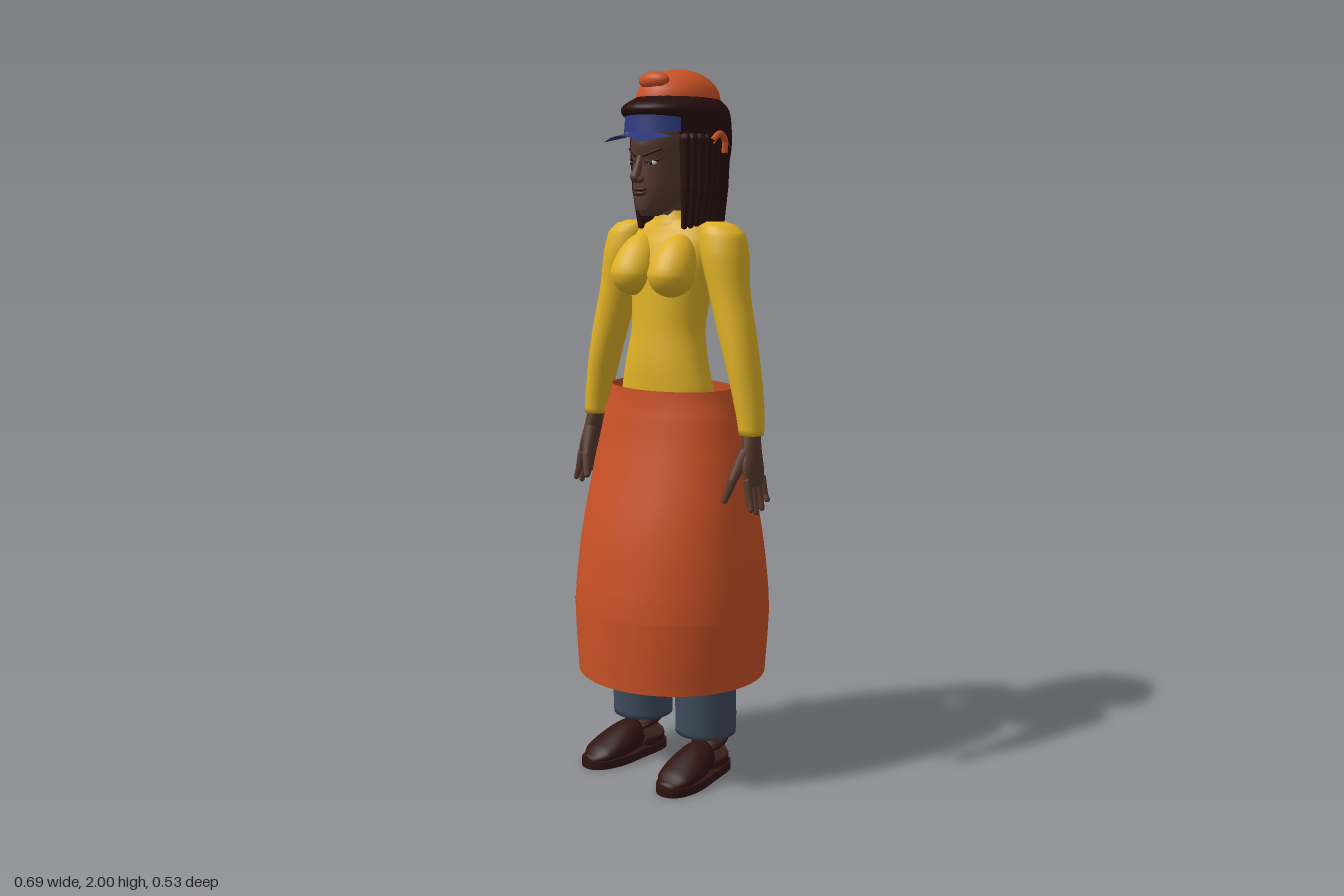
import * as THREE from 'three';

const mat = (name, color, side = THREE.FrontSide) => {
  const m = new THREE.MeshStandardMaterial({ color, side });
  m.name = name;
  return m;
};

export function createModel() {
  const model = new THREE.Group();
  model.name = 'woman';
  const M = {
    orange: mat('orangeCloth', 0xc95126, THREE.DoubleSide),
    yellow: mat('yellowKnit', 0xdfb126, THREE.DoubleSide),
    skin: mat('brownSkin', 0x573a2d),
    hair: mat('darkHair', 0x270d0d),
    blue: mat('blueVisor', 0x2f3a7c, THREE.DoubleSide),
    denim: mat('slateDenim', 0x3e4a5c),
    shoe: mat('darkLeather', 0x2f1312),
    lip: mat('lips', 0x40241f),
    white: mat('eyeWhite', 0xb8aea6),
  };
  const V = (x, y, z) => new THREE.Vector3(x, y, z);
  const add = (name, geo, m, parent = model) => {
    const mesh = new THREE.Mesh(geo, m);
    mesh.name = name;
    parent.add(mesh);
    return mesh;
  };

  // Smooth elliptical loft; rows, bottom to top: [y, centreX, radiusX, frontZ, backZ]
  function loft(rows, capped = true, segs = 40, sub = 5) {
    const rings = [];
    const n = rows.length;
    for (let i = 0; i < n - 1; i++) {
      const p = [rows[Math.max(i - 1, 0)], rows[i], rows[i + 1], rows[Math.min(i + 2, n - 1)]];
      for (let k = 0; k < sub + (i === n - 2 ? 1 : 0); k++) {
        const t = k / sub;
        rings.push(rows[0].map((_, c) => {
          const [a, b, d, e] = p.map(r => r[c]);
          if (c === 0) return b + (d - b) * t;
          return 0.5 * (2 * b + (d - a) * t + (2 * a - 5 * b + 4 * d - e) * t * t
            + (3 * b - a - 3 * d + e) * t * t * t);
        }));
      }
    }
    const pos = [], idx = [];
    const w = segs + 1;
    for (const [y, cx, rx, zf, zb] of rings) {
      for (let j = 0; j <= segs; j++) {
        const a = j / segs * Math.PI * 2;
        pos.push(cx + rx * Math.sin(a), y, (zf + zb) / 2 + (zf - zb) / 2 * Math.cos(a));
      }
    }
    for (let i = 0; i < rings.length - 1; i++) {
      for (let j = 0; j < segs; j++) {
        const a = i * w + j, b = a + w;
        idx.push(a, a + 1, b, a + 1, b + 1, b);
      }
    }
    if (capped) {
      for (const top of [false, true]) {
        const [y, cx, , zf, zb] = rings[top ? rings.length - 1 : 0];
        const base = top ? (rings.length - 1) * w : 0;
        const c = pos.length / 3;
        pos.push(cx, y, (zf + zb) / 2);
        for (let j = 0; j < segs; j++) {
          idx.push(c, base + j + (top ? 0 : 1), base + j + (top ? 1 : 0));
        }
      }
    }
    const g = new THREE.BufferGeometry();
    g.setAttribute('position', new THREE.Float32BufferAttribute(pos, 3));
    g.setIndex(idx);
    g.computeVertexNormals();
    return g;
  }
  const ball = (c, r) => new THREE.SphereGeometry(1, 28, 18).scale(...r).translate(...c);
  // Tapered round-ended rod between two points
  function rod(a, b, r0, r1) {
    const len = a.distanceTo(b);
    const g = new THREE.CapsuleGeometry(1, len, 4, 10);
    const p = g.attributes.position;
    for (let i = 0; i < p.count; i++) {
      const y = p.getY(i), h = THREE.MathUtils.clamp(y, -len / 2, len / 2);
      const r = r0 + (r1 - r0) * (h / len + 0.5);
      p.setXYZ(i, p.getX(i) * r, h + (y - h) * r, p.getZ(i) * r);
    }
    g.applyQuaternion(new THREE.Quaternion().setFromUnitVectors(V(0, 1, 0), b.clone().sub(a).normalize()));
    return g.translate(...a.clone().add(b).multiplyScalar(0.5).toArray());
  }

  // Skirt and its hem band
  add('skirt', loft([[0.5, 0, 0.291, 0.266, -0.266], [0.6, 0, 0.287, 0.254, -0.254], [0.75, 0, 0.272, 0.226, -0.226],
    [0.92, 0, 0.248, 0.18, -0.18], [1.05, 0, 0.219, 0.152, -0.152], [1.13, 0, 0.192, 0.14, -0.14]], false, 64), M.orange);
  add('skirtHem', loft([[0.3, 0, 0.276, 0.265, -0.265], [0.4, 0, 0.285, 0.267, -0.267], [0.502, 0, 0.292, 0.267, -0.267]], false, 64), M.orange);

  // Top, with collar
  add('torso', loft([[1.0, 0, 0.165, 0.11, -0.09], [1.13, 0, 0.15, 0.113, -0.078], [1.2, 0, 0.132, 0.113, -0.072],
    [1.29, 0, 0.114, 0.104, -0.076], [1.38, 0, 0.122, 0.098, -0.09], [1.46, 0, 0.138, 0.09, -0.103],
    [1.53, 0, 0.15, 0.066, -0.108], [1.572, 0, 0.125, 0.046, -0.09], [1.595, 0, 0.07, 0.036, -0.07]]), M.yellow);
  add('collar', loft([[1.575, 0, 0.075, 0.045, -0.075], [1.6, 0, 0.064, 0.036, -0.066], [1.618, 0, 0.066, 0.03, -0.07]], false), M.yellow);
  add('hips', loft([[0.74, 0, 0.08, 0.06, -0.07], [0.8, 0, 0.16, 0.09, -0.1], [0.95, 0, 0.17, 0.1, -0.105], [1.05, 0, 0.155, 0.1, -0.09]]), M.denim);

  for (const s of [1, -1]) {
    const side = s > 0 ? 'left' : 'right';
    // Bust: sphere drawn out upwards into the chest
    const bust = new THREE.SphereGeometry(0.066, 28, 20);
    const bp = bust.attributes.position;
    for (let i = 0; i < bp.count; i++) {
      const y = bp.getY(i);
      if (y > 0) bp.setXYZ(i, bp.getX(i), y * 1.6, bp.getZ(i) - y * 0.55);
    }
    bust.computeVertexNormals();
    add(side + 'Bust', bust.translate(s * 0.069, 1.45, 0.08), M.yellow);

    // Sleeve
    add(side + 'Sleeve', loft([[1.02, s * 0.295, 0.034, 0.042, -0.03], [1.1, s * 0.283, 0.039, 0.046, -0.042],
      [1.2, s * 0.261, 0.045, 0.052, -0.05], [1.3, s * 0.234, 0.053, 0.052, -0.054], [1.4, s * 0.206, 0.057, 0.052, -0.062],
      [1.5, s * 0.184, 0.067, 0.054, -0.076], [1.555, s * 0.172, 0.066, 0.044, -0.072], [1.58, s * 0.158, 0.052, 0.03, -0.06],
      [1.589, s * 0.15, 0.03, 0.01, -0.04]]), M.yellow);

    // Hand
    const hand = new THREE.Group();
    hand.name = side + 'Hand';
    model.add(hand);
    add('palm', loft([[0.885, s * 0.317, 0.013, 0.058, -0.02], [0.93, s * 0.311, 0.018, 0.058, -0.024],
      [0.98, s * 0.301, 0.022, 0.046, -0.022], [1.04, s * 0.294, 0.024, 0.032, -0.022]]), M.skin, hand);
    for (let i = 0; i < 4; i++) {
      const z = -0.014 + i * 0.021;
      const drop = [0.028, 0.008, 0, 0.01][i];
      const mid = V(s * 0.325, 0.855, z * 1.05);
      add('finger', rod(V(s * 0.317, 0.9, z), mid, 0.0115, 0.0105), M.skin, hand);
      add('fingertip', rod(mid, V(s * 0.335, 0.815 + drop, z * 1.1), 0.0105, 0.008), M.skin, hand);
    }
    add('thumb', rod(V(s * 0.295, 0.97, 0.035), V(s * 0.28, 0.9, 0.066), 0.019, 0.013), M.skin, hand);
    add('thumbTip', rod(V(s * 0.28, 0.9, 0.066), V(s * 0.264, 0.845, 0.08), 0.013, 0.009), M.skin, hand);

    // Trouser leg
    add(side + 'TrouserLeg', loft([[0.13, s * 0.123, 0.088, 0.078, -0.096], [0.2, s * 0.124, 0.088, 0.08, -0.097],
      [0.45, s * 0.118, 0.084, 0.086, -0.096], [0.7, s * 0.092, 0.088, 0.09, -0.1], [0.9, s * 0.085, 0.085, 0.09, -0.1]]), M.denim);

    // Shoe: sole, closed toe, heel strap and bare ankle
    const foot = new THREE.Group();
    foot.name = side + 'Foot';
    foot.position.set(s * 0.132, 0, 0);
    foot.rotation.y = s * 0.1;
    model.add(foot);
    const along = rows => loft(rows).rotateX(Math.PI / 2); // rows: [z, x, radius, -bottom, -top]
    const sole = new THREE.Shape();
    sole.moveTo(0, -0.095);
    sole.bezierCurveTo(0.06, -0.095, 0.045, -0.02, 0.058, 0.06);
    sole.bezierCurveTo(0.07, 0.15, 0.045, 0.21, 0, 0.208);
    sole.bezierCurveTo(-0.045, 0.21, -0.07, 0.15, -0.058, 0.06);
    sole.bezierCurveTo(-0.045, -0.02, -0.06, -0.095, 0, -0.095);
    add('sole', new THREE.ExtrudeGeometry(sole, { depth: 0.024, bevelEnabled: false, curveSegments: 12 })
      .rotateX(Math.PI / 2).translate(0, 0.026, 0), M.shoe, foot);
    add('toeUpper', along([[0.02, 0, 0.046, -0.015, -0.112], [0.06, 0, 0.055, -0.01, -0.105], [0.11, 0, 0.06, -0.01, -0.085],
      [0.16, 0, 0.053, -0.012, -0.06], [0.198, 0, 0.025, -0.015, -0.036]]), M.shoe, foot);
    add('foot', along([[-0.085, 0, 0.02, -0.02, -0.06], [-0.06, 0, 0.036, -0.015, -0.085], [0, 0, 0.04, -0.015, -0.115],
      [0.05, 0, 0.04, -0.015, -0.1]]), M.skin, foot);
    add('ankle', rod(V(0, 0.07, -0.03), V(0, 0.22, -0.015), 0.036, 0.042), M.skin, foot);
    add('heelCup', loft([[0.015, 0, 0.045, 0.03, -0.088], [0.05, 0, 0.044, 0.03, -0.09]]), M.shoe, foot);
    add('ankleStrap', new THREE.TorusGeometry(0.044, 0.008, 8, 28).scale(1, 1.25, 1)
      .rotateX(Math.PI / 2 + 0.3).translate(0, 0.1, -0.022), M.shoe, foot);
  }

  // Head and face
  add('neck', rod(V(0, 1.55, -0.025), V(0, 1.68, 0.005), 0.05, 0.043), M.skin);
  add('head', loft([[1.604, 0, 0.02, 0.118, 0.06], [1.622, 0, 0.042, 0.128, 0.02], [1.66, 0, 0.06, 0.132, -0.02],
    [1.7, 0, 0.072, 0.132, -0.07], [1.75, 0, 0.079, 0.131, -0.1], [1.8, 0, 0.082, 0.138, -0.12], [1.88, 0, 0.08, 0.115, -0.12]]), M.skin);
  add('noseBridge', rod(V(0, 1.765, 0.126), V(0, 1.709, 0.148), 0.008, 0.014), M.skin);
  add('noseWings', ball([0, 1.703, 0.138], [0.021, 0.011, 0.016]), M.skin);
  add('upperLip', ball([0, 1.676, 0.131], [0.026, 0.006, 0.012]), M.lip);
  add('lowerLip', ball([0, 1.665, 0.13], [0.022, 0.007, 0.012]), M.lip);
  for (const s of [1, -1]) {
    add('eye', ball([s * 0.036, 1.746, 0.119], [0.016, 0.006, 0.006]), M.white);
    add('iris', ball([s * 0.035, 1.746, 0.123], [0.0065, 0.006, 0.004]), M.hair);
    add('eyelid', rod(V(s * 0.02, 1.749, 0.126), V(s * 0.053, 1.755, 0.108), 0.004, 0.003), M.hair);
    add('eyebrow', rod(V(s * 0.016, 1.766, 0.13), V(s * 0.058, 1.784, 0.108), 0.005, 0.003), M.hair);
  }

  // Hair: crown with a fringe roll, then hanging locks
  add('hairCrown', loft([[1.62, 0, 0.08, -0.045, -0.12], [1.68, 0, 0.105, -0.01, -0.155], [1.75, 0, 0.12, 0.02, -0.172],
    [1.8, 0, 0.133, 0.055, -0.178], [1.855, 0, 0.136, 0.1, -0.182], [1.878, 0, 0.137, 0.145, -0.183],
    [1.9, 0, 0.129, 0.144, -0.174], [1.93, 0, 0.1, 0.09, -0.14]], true, 48), M.hair);
  const locks = new THREE.Group();
  locks.name = 'hairLocks';
  model.add(locks);
  const count = 29;
  for (let i = 0; i < count; i++) {
    const u = i / (count - 1) * 2 - 1;
    const a = u * 2.25, back = 1 - Math.abs(u);
    const jitter = Math.sin(i * 12.9) * 0.022;
    const x = Math.sin(a), z = -Math.cos(a);
    const end = 1.575 - 0.075 * back + jitter;
    const mid = V(x * 0.116, 1.68, -0.035 + z * 0.125);
    add('lock', rod(V(x * 0.118, 1.81, -0.035 + z * 0.13), mid, 0.017, 0.015), M.hair, locks);
    add('lockEnd', rod(mid, V(x * 0.103, end, -0.035 + z * 0.118), 0.015, 0.009), M.hair, locks);
  }

  // Visor: head band and curved peak
  add('visorBand', new THREE.CylinderGeometry(0.128, 0.132, 0.05, 32, 1, true, -1, 2).scale(0.92, 1, 1.08).translate(0, 1.852, 0), M.blue);
  const peak = new THREE.PlaneGeometry(2, 1, 20, 8);
  const pp = peak.attributes.position;
  for (let i = 0; i < pp.count; i++) {
    const u = pp.getX(i), v = pp.getY(i) + 0.5;
    const w = 0.085 - 0.022 * v;
    pp.setXYZ(i, u * w, 1.832 - 0.016 * v - 0.016 * u * u, 0.125 - 0.035 * u * u * (1 - v) + v * (0.083 - 0.006 * u * u));
  }
  peak.computeVertexNormals();
  add('visorPeak', peak, M.blue);
  for (const s of [1, -1]) {
    const curve = new THREE.CatmullRomCurve3([V(s * 0.134, 1.805, -0.015), V(s * 0.139, 1.825, -0.04),
      V(s * 0.139, 1.81, -0.06), V(s * 0.136, 1.775, -0.065)]);
    add('hairClip', new THREE.TubeGeometry(curve, 16, 0.009, 8), M.orange);
  }

  // Cap dome with its front button
  add('capDome', ball([0, 1.915, -0.027], [0.109, 0.085, 0.128]), M.orange);
  add('capButton', ball([0, 1.966, 0.072], [0.051, 0.024, 0.027]), M.orange);

  return model;
}
